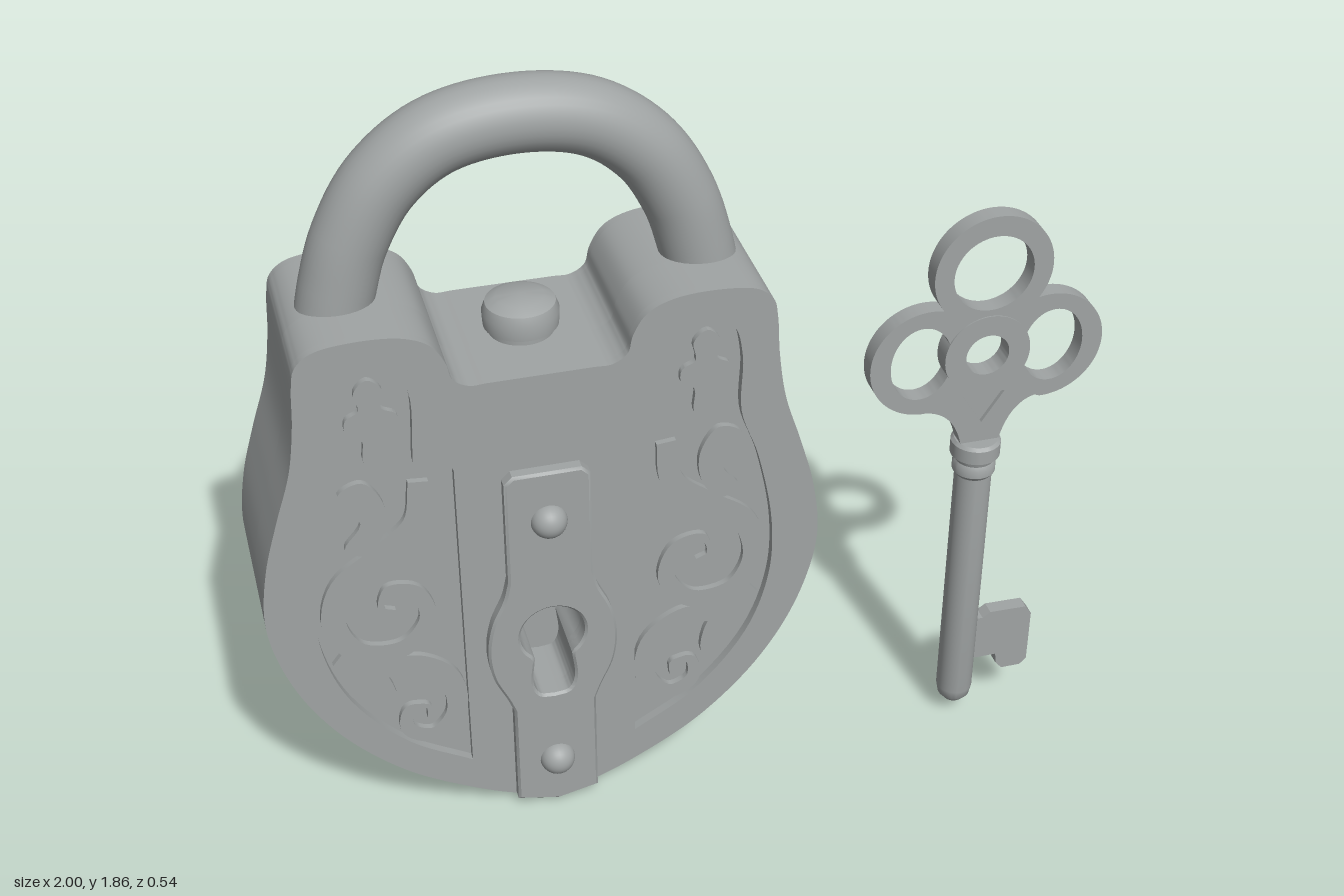
import * as THREE from 'three';
import { toCreasedNormals } from 'three/addons/utils/BufferGeometryUtils.js';

const metal = new THREE.MeshStandardMaterial({ color: 0xa0a4a4 });
metal.name = 'grey metal';

// Smooth 2D curve through [x, y] points
const smooth = (pts, n = 6, closed = false) =>
  new THREE.CatmullRomCurve3(pts.map(([x, y]) => new THREE.Vector3(x, y, 0)), closed, 'centripetal')
    .getPoints((pts.length - (closed ? 0 : 1)) * n).map(p => [p.x, p.y]);
const vecs = pts => pts.map(([x, y]) => new THREE.Vector2(x, y));
const flip = pts => pts.map(([x, y]) => [-x, y]).reverse();
// Closed outline from its right half, both ends on the centre line
const symmetric = half => [...half, ...flip(half).slice(1, -1)];

function add(parent, name, geometry, x = 0, y = 0, z = 0) {
  const mesh = new THREE.Mesh(geometry, metal);
  mesh.name = name;
  mesh.position.set(x, y, z);
  parent.add(mesh);
  return mesh;
}

// Flat slab between two depths, with optional holes
function slab(outline, z0, z1, holes = [], bevel = 0) {
  const shape = outline instanceof THREE.Shape ? outline : new THREE.Shape(vecs(outline));
  shape.holes = holes.map(h => h instanceof THREE.Path ? h : new THREE.Path(vecs(h)));
  const geo = new THREE.ExtrudeGeometry(shape, {
    depth: z1 - z0 - bevel, bevelEnabled: bevel > 0, bevelThickness: bevel, bevelSize: bevel,
    bevelOffset: -bevel, bevelSegments: 1, curveSegments: 32,
  });
  geo.translate(0, 0, z0);
  return toCreasedNormals(geo, 0.6);
}

// Tapered ribbon outline along a curve
function ribbon(pts, w0, w1) {
  const c = smooth(pts, 6), left = [], right = [];
  c.forEach(([x, y], i) => {
    const a = c[Math.max(i - 1, 0)], b = c[Math.min(i + 1, c.length - 1)];
    const dx = b[0] - a[0], dy = b[1] - a[1], l = Math.hypot(dx, dy);
    const t = i / (c.length - 1);
    const w = (w0 + (w1 - w0) * t) * (0.35 + 0.65 * Math.sin(Math.PI * Math.min(1, t * 1.1 + 0.08)) ** 0.5 || 0.35);
    left.push([x - dy / l * w, y + dx / l * w]);
    right.unshift([x + dy / l * w, y - dx / l * w]);
  });
  return [...left, ...right];
}

const circle = (x, y, rx, ry = rx) => new THREE.Path().absellipse(x, y, rx, ry, 0, Math.PI * 2);
const lathe = pts => toCreasedNormals(new THREE.LatheGeometry(vecs(pts), 40), 0.6);

const BODY = symmetric(smooth([[0, 0], [0.1, 0.022], [0.22, 0.075], [0.36, 0.16], [0.49, 0.285], [0.58, 0.42],
  [0.635, 0.56], [0.655, 0.68], [0.64, 0.82], [0.605, 0.95], [0.565, 1.08], [0.547, 1.2], [0.54, 1.3],
  [0.53, 1.345], [0.495, 1.376], [0.41, 1.39], [0.3, 1.383], [0.24, 1.355], [0.208, 1.305],
  [0.195, 1.26], [0.16, 1.238], [0.12, 1.238], [0, 1.238]]));

// Recessed side panel
const PANEL = [
  ...smooth([[0.294, 1.06], [0.294, 1.25], [0.325, 1.298], [0.38, 1.313], [0.438, 1.29], [0.46, 1.21], [0.46, 1.06],
    [0.503, 0.928], [0.54, 0.73], [0.535, 0.57], [0.48, 0.41], [0.353, 0.254], [0.203, 0.158]]),
  [0.205, 1.02], [0.215, 1.045]];

const KEYHOLE = symmetric([
  ...smooth([[0, 0.345], [0.035, 0.352], [0.05, 0.385], [0.045, 0.46]]),
  ...Array.from({ length: 15 }, (_, i) => {
    const a = -0.85 + (Math.PI / 2 + 0.85) * i / 14;
    return [i === 14 ? 0 : 0.078 * Math.cos(a), 0.53 + 0.078 * Math.sin(a)];
  })]);

const PLATE = symmetric([[0, 0.004], [0.1, 0.026],
  ...smooth([[0.1, 0.31], [0.115, 0.35], [0.145, 0.42], [0.155, 0.5], [0.142, 0.58], [0.112, 0.65], [0.1, 0.7]]),
  [0.1, 0.975], [0.08, 0.995], [0, 0.995]]);

// Raised ornaments inside one panel
const ORNAMENTS = {
  crossOrnament: smooth([[0.38, 1.286], [0.41, 1.258], [0.403, 1.21], [0.433, 1.19], [0.433, 1.152], [0.401, 1.136],
    [0.401, 1.072], [0.376, 1.052], [0.35, 1.072], [0.35, 1.136], [0.321, 1.152], [0.321, 1.19],
    [0.353, 1.21], [0.348, 1.258]], 4, true),
  upperLeaf: smooth([[0.465, 0.995], [0.41, 1.02], [0.365, 0.955], [0.372, 0.87], [0.415, 0.82],
    [0.46, 0.845], [0.42, 0.91]], 5, true),
  lowerLeaf: smooth([[0.48, 0.488], [0.4, 0.473], [0.372, 0.365], [0.405, 0.352], [0.43, 0.42]], 5, true),
  upperScroll: ribbon([[0.285, 1.0], [0.3, 0.89], [0.38, 0.815], [0.475, 0.74], [0.5, 0.63], [0.45, 0.545],
    [0.345, 0.535], [0.285, 0.61], [0.31, 0.695], [0.375, 0.71], [0.39, 0.66], [0.36, 0.645]], 0.034, 0.018),
  lowerScroll: ribbon([[0.5, 0.535], [0.43, 0.485], [0.32, 0.48], [0.245, 0.42], [0.235, 0.31], [0.29, 0.255],
    [0.35, 0.285], [0.345, 0.345], [0.3, 0.345], [0.298, 0.31]], 0.032, 0.016),
};

// Raised fittings shared by the front and the back
function createFace() {
  const face = new THREE.Group();
  for (const [name, pts] of Object.entries(ORNAMENTS)) {
    for (const side of [pts, flip(pts)]) add(face, name, slab(side, 0.175, 0.193));
  }
  add(face, 'keyholePlate', slab(PLATE, 0.195, 0.23, [KEYHOLE], 0.006));
  for (const y of [0.862, 0.142]) {
    const rivet = new THREE.SphereGeometry(0.043, 24, 10, 0, Math.PI * 2, 0, Math.PI / 2);
    rivet.rotateX(Math.PI / 2);
    add(face, 'rivet', rivet, 0, y, 0.226);
  }
  return face;
}

function createPadlock() {
  const lock = new THREE.Group();
  lock.name = 'padlock';
  const panels = [PANEL, flip(PANEL)];
  add(lock, 'bodyBack', slab(BODY, -0.178, 0.05));
  add(lock, 'bodyFront', slab(BODY, 0.05, 0.178, [KEYHOLE]));
  add(lock, 'frontFrame', slab(BODY, 0.178, 0.2, [...panels, KEYHOLE]));
  add(lock, 'backFrame', slab(BODY, -0.2, -0.178, panels));

  const front = createFace(), back = createFace();
  front.name = 'frontFittings';
  back.name = 'backFittings';
  back.rotation.y = Math.PI;
  lock.add(front, back);

  // Shackle
  const half = [[0.425, 1.3], [0.4, 1.42], [0.365, 1.53], [0.29, 1.655], [0.17, 1.745], [0, 1.775]];
  const path = new THREE.CatmullRomCurve3([...half, ...flip(half).slice(1)].map(([x, y]) => new THREE.Vector3(x, y, 0)));
  add(lock, 'shackle', new THREE.TubeGeometry(path, 72, 0.086, 32));

  // Button in the notch
  add(lock, 'button', lathe([[0.075, 1.22], [0.075, 1.252], [0.086, 1.255], [0.088, 1.29],
    [0.08, 1.312], [0.055, 1.325], [0, 1.33]]));
  lock.position.x = -0.345;
  return lock;
}

function createKey() {
  const key = new THREE.Group();
  key.name = 'key';

  // Three-lobed bow
  const bow = new THREE.Shape();
  bow.moveTo(0.045, 0.84);
  bow.quadraticCurveTo(0.065, 0.95, 0.13, 0.965);
  bow.absarc(0.147, 1.1, 0.14, -1.6, 1.86);
  bow.absarc(0, 1.322, 0.144, -0.66, Math.PI + 0.66);
  bow.absarc(-0.147, 1.1, 0.14, Math.PI - 1.86, Math.PI + 1.6);
  bow.quadraticCurveTo(-0.065, 0.95, -0.045, 0.84);
  const triangle = [[-0.053, 0.992], [0, 0.91], [0.053, 0.992]];
  add(key, 'bow', slab(bow, -0.022, 0.022, [circle(0, 1.318, 0.097), circle(0.162, 1.1, 0.075, 0.097),
    circle(-0.162, 1.1, 0.075, 0.097), circle(0, 1.1, 0.053), triangle]));
  add(key, 'triangleInset', slab(triangle, -0.012, 0.012));
  const ring = new THREE.Shape().absarc(0, 1.1, 0.105, 0, Math.PI * 2);
  add(key, 'bowRing', slab(ring, -0.025, 0.025, [circle(0, 1.1, 0.053)]));

  // Shaft with collars and rounded tip
  add(key, 'shaft', lathe([[0, 0.035], [0.025, 0.042], [0.04, 0.06], [0.045, 0.085], [0.045, 0.755], [0.052, 0.765],
    [0.052, 0.785], [0.047, 0.795], [0.05, 0.805], [0.06, 0.812], [0.06, 0.848], [0.053, 0.856], [0, 0.856]]));

  // Bit
  add(key, 'bit', slab([[0.03, 0.17], [0.1, 0.17], [0.103, 0.14], [0.12, 0.12], [0.17, 0.12], [0.187, 0.137],
    [0.187, 0.285], [0.17, 0.31], [0.075, 0.312], [0.055, 0.298], [0.03, 0.298]], -0.018, 0.018));
  key.position.set(0.713, 0, 0.165);
  return key;
}

export function createModel() {
  const model = new THREE.Group();
  model.name = 'padlockAndKey';
  model.add(createPadlock(), createKey());
  return model;
}
